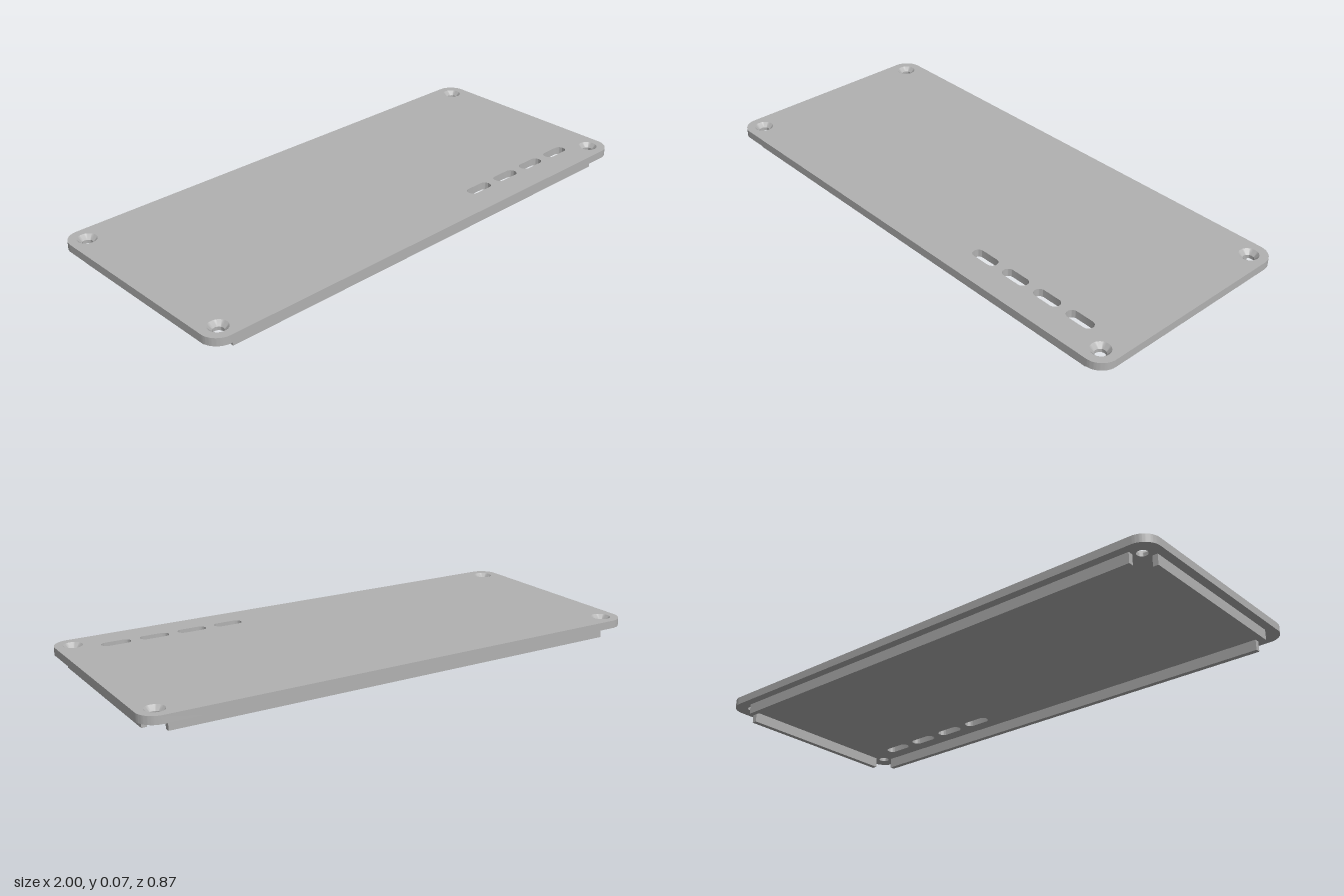
import * as THREE from 'three';
import { toCreasedNormals } from 'three/addons/utils/BufferGeometryUtils.js';

const HALF_X = 1, HALF_Z = 0.437, CORNER = 0.066;
const Y0 = 0.04, Y1 = 0.07;               // underside and top of the plate
const HOLE_X = 0.933, HOLE_Z = 0.37;      // screw hole centres
const SINK_R = 0.036, HOLE_R = 0.02;
const SIDES = [-1, 1];

function roundedOutline() {
  const s = new THREE.Shape();
  const x = HALF_X - CORNER, y = HALF_Z - CORNER, q = Math.PI / 2;
  s.absarc(x, y, CORNER, 0, q);
  s.absarc(-x, y, CORNER, q, 2 * q);
  s.absarc(-x, -y, CORNER, 2 * q, 3 * q);
  s.absarc(x, -y, CORNER, 3 * q, 4 * q);
  s.closePath();
  return s;
}

function slotPath(cx, cy, length, width) {
  const p = new THREE.Path(), r = width / 2, d = length / 2 - r, q = Math.PI / 2;
  p.absarc(cx + d, cy, r, -q, q);
  p.absarc(cx - d, cy, r, q, 3 * q);
  p.closePath();
  return p;
}

export function createModel() {
  const group = new THREE.Group();
  group.name = 'enclosureLid';
  const grey = new THREE.MeshStandardMaterial({ color: 0xb2b2b2 });
  grey.name = 'grey';

  const add = (name, geometry, x = 0, y = 0, z = 0) => {
    const mesh = new THREE.Mesh(geometry, grey);
    mesh.name = name;
    mesh.position.set(x, y, z);
    group.add(mesh);
  };

  // Plate with screw holes and a row of slots along the front
  const outline = roundedOutline();
  for (const sx of SIDES) for (const sz of SIDES) {
    outline.holes.push(new THREE.Path().absarc(sx * HOLE_X, sz * HOLE_Z, SINK_R, 0, Math.PI * 2));
  }
  for (let i = 0; i < 4; i++) {
    outline.holes.push(slotPath(0.34 + i * 0.15, -0.313, 0.112, 0.043));
  }
  const plate = new THREE.ExtrudeGeometry(outline, { depth: Y1 - Y0, bevelEnabled: false, curveSegments: 16 });
  plate.rotateX(-Math.PI / 2);
  add('plate', toCreasedNormals(plate, 0.6), 0, Y0, 0);

  // Countersunk linings of the screw holes
  const profile = [[SINK_R, Y1], [HOLE_R, 0.053], [HOLE_R, Y0], [SINK_R, Y0]]
    .map(([r, y]) => new THREE.Vector2(r, y));
  const countersink = toCreasedNormals(new THREE.LatheGeometry(profile, 32), 0.6);
  for (const sx of SIDES) for (const sz of SIDES) {
    add('countersunkHole', countersink, sx * HOLE_X, 0, sz * HOLE_Z);
  }

  // Locating rails under the plate
  const longRail = new THREE.BoxGeometry(1.81, Y0, 0.02);
  const shortRail = new THREE.BoxGeometry(0.02, Y0, 0.677);
  for (const s of SIDES) {
    add('longRail', longRail, 0, Y0 / 2, s * 0.395);
    add('shortRail', shortRail, s * 0.958, Y0 / 2, 0);
  }
  return group;
}
